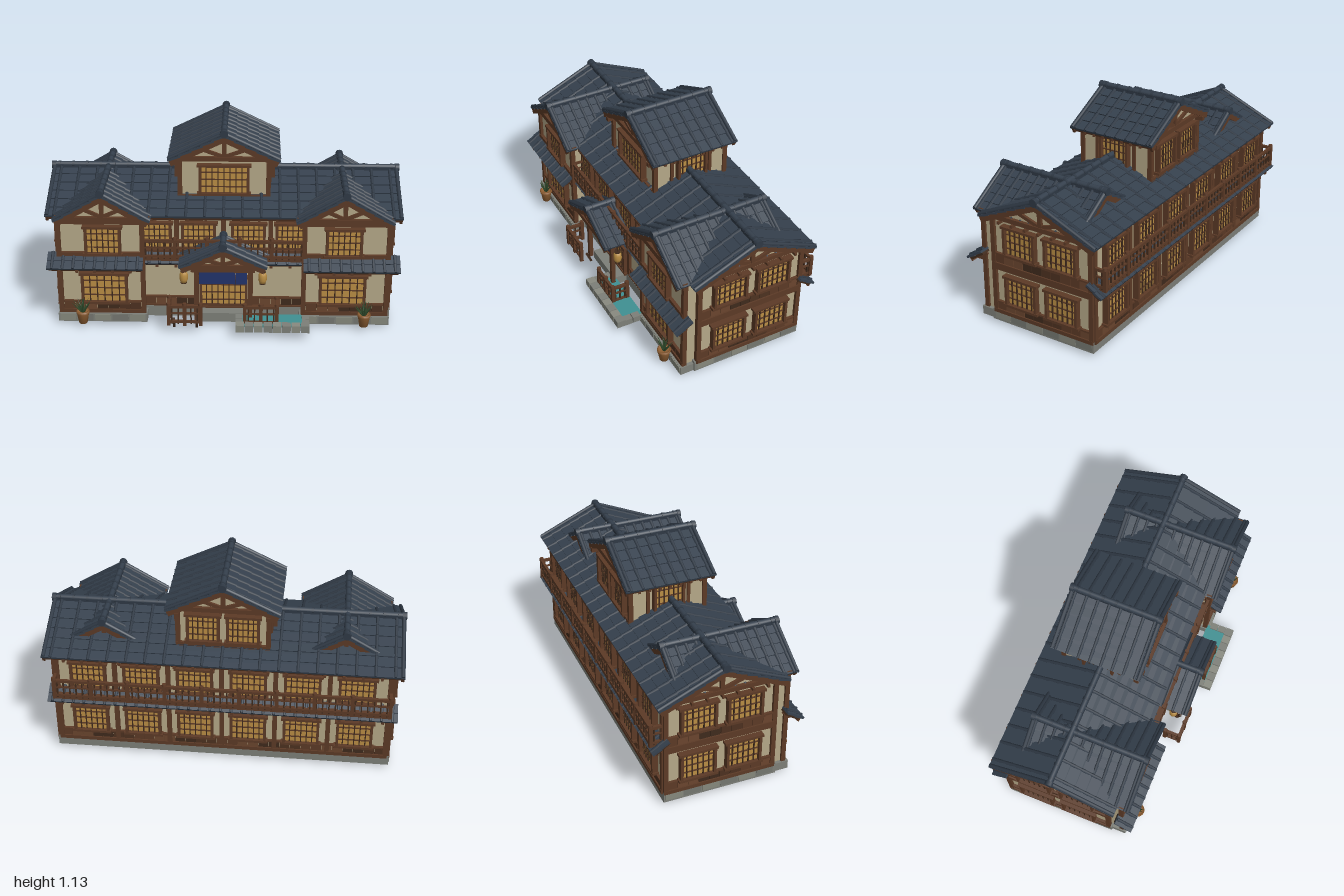
import * as THREE from 'three';
import { mergeGeometries } from 'three/addons/utils/BufferGeometryUtils.js';

const WALL = 0xb5a888, WOOD = 0x5c3a26, DARK = 0x3f2a1c, GLOW = 0xb98d44, TILE = 0x35404d,
  RIB = 0x2f3945, STONE = 0x7d7f78, WATER = 0x3f9092, CLOTH = 0x22336b, CLAY = 0x8f5f33, LEAF = 0x2f4a2b;

let frame, parts;
const at = (x, y, z, rx = 0, ry = 0, rz = 0) =>
  new THREE.Matrix4().makeRotationFromEuler(new THREE.Euler(rx, ry, rz)).setPosition(x, y, z);

// Run fn with all placements relative to matrix m
function within(m, fn) {
  const old = frame;
  frame = old.clone().multiply(m);
  fn();
  frame = old;
}
// Collect a geometry under a part name and colour
function put(name, color, geo, m) {
  const key = name + color;
  if (!parts.has(key)) parts.set(key, { name, color, list: [] });
  const g = geo.index ? geo.toNonIndexed() : geo;
  parts.get(key).list.push(g.applyMatrix4(frame.clone().multiply(m)));
}
const box = (name, color, w, h, d, x, y, z, rx = 0, ry = 0, rz = 0) =>
  put(name, color, new THREE.BoxGeometry(w, h, d), at(x, y, z, rx, ry, rz));
const rod = (name, color, r1, r2, len, x, y, z, rx = 0, rz = 0, n = 8) =>
  put(name, color, new THREE.CylinderGeometry(r1, r2, len, n), at(x, y, z, rx, 0, rz));
// Timber between two points of the local xy plane
function strut(name, ax, ay, bx, by, z, t = 0.02, d = 0.02) {
  box(name, WOOD, Math.hypot(bx - ax, by - ay), t, d, (ax + bx) / 2, (ay + by) / 2, z, 0, 0, Math.atan2(by - ay, bx - ax));
}
const spread = (n, len, fn) => { for (let i = 0; i < n; i++) fn(-len / 2 + len * (i + 0.5) / n, i); };

// One tiled plane: starts at the local origin and falls towards +z
function slope(name, len, run, rise, rowSize = 0.068, ribGap = 0.08) {
  const L = Math.hypot(run, rise), rows = Math.max(1, Math.round(L / rowSize)), r = L / rows;
  within(at(0, 0, 0, Math.atan2(rise, run)), () => {
    box(name + 'Deck', DARK, len - 0.02, 0.014, L - 0.01, 0, -0.014, L / 2 - 0.005);
    box(name + 'EaveBoard', WOOD, len - 0.02, 0.022, 0.012, 0, -0.018, L - 0.012);
    spread(Math.round(len / 0.09), len - 0.04, x => box(name + 'Rafters', WOOD, 0.014, 0.016, L - 0.03, x, -0.028, L / 2));
    for (let i = 0; i < rows; i++) {
      const z = (i + 0.5) * r;
      box(name + 'Tiles', TILE, len, 0.012, r * 1.12, 0, 0, z, -0.1);
      spread(Math.round(len / ribGap), len, x =>
        rod(name + 'TileRibs', RIB, 0.0085, 0.011, r * 1.08, x, 0.006, z, Math.PI / 2 - 0.06, 0, 6));
    }
  });
}
// Gable roof with its ridge along local x; the origin is at ridge height
function gableRoof(name, len, run, rise, ribGap, rowSize) {
  for (const turn of [0, Math.PI]) within(at(0, 0, 0, 0, turn), () => {
    slope(name, len, run, rise, rowSize, ribGap);
    const L = Math.hypot(run, rise);
    within(at(0, 0, 0, Math.atan2(rise, run)), () => {
      for (const s of [-1, 1]) {
        box(name + 'BargeBoards', WOOD, 0.016, 0.032, L, s * (len / 2 - 0.012), -0.02, L / 2);
        rod(name + 'EdgeTiles', RIB, 0.011, 0.012, L, s * (len / 2 - 0.012), 0.009, L / 2, Math.PI / 2);
      }
    });
  });
  box(name + 'Ridge', RIB, len, 0.02, 0.034, 0, 0.006, 0);
  spread(Math.round(len / 0.08), len, x => {
    rod(name + 'Ridge', TILE, 0.016, 0.016, len / Math.round(len / 0.08), x, 0.014, 0, 0, Math.PI / 2, 10);
    rod(name + 'Ridge', RIB, 0.019, 0.019, 0.014, x, 0.014, 0, 0, Math.PI / 2, 10);
  });
  for (const s of [-1, 1]) rod(name + 'Ridge', RIB, 0.023, 0.023, 0.024, s * (len / 2 - 0.008), 0.01, 0, 0, Math.PI / 2, 12);
}
// Plastered gable triangle with tie beam, king post and braces; faces +z
function gable(name, half, h) {
  const tri = new THREE.Shape([[-half, 0], [half, 0], [0, h]].map(p => new THREE.Vector2(...p)));
  put(name + 'Plaster', WALL, new THREE.ExtrudeGeometry(tri, { depth: 0.02, bevelEnabled: false }), at(0, 0, -0.02));
  box(name + 'Timber', WOOD, half * 2 + 0.06, 0.026, 0.03, 0, 0, 0.005);
  box(name + 'Timber', WOOD, 0.024, h, 0.024, 0, h / 2, 0.005);
  for (const s of [-1, 1]) {
    strut(name + 'Timber', 0, 0.01, s * half * 0.52, h * 0.47, 0.004);
    strut(name + 'Timber', s * half, 0.005, 0, h, 0.006, 0.026);
  }
}
// Lattice window centred at x, y on a wall facing +z
function lattice(w, h, x, y, bars = 6, depth = 0.034) {
  within(at(x, y, 0), () => {
    box('windowPaper', GLOW, w, h, 0.016, 0, 0, 0.004);
    for (const s of [-1, 1]) {
      box('windowFrame', WOOD, 0.015, h, depth, s * w / 2, 0, depth / 2);
      box('windowFrame', WOOD, w + 0.035, 0.014, depth + 0.004, 0, s * h / 2, depth / 2);
    }
    for (let i = 1; i < bars; i++) box('windowBars', DARK, 0.006, h, 0.01, -w / 2 + w * i / bars, 0, 0.014);
    for (const k of [-0.25, 0, 0.25]) box('windowBars', WOOD, w, 0.006, 0.008, 0, h * k, 0.014);
  });
}
// Row of boards in mixed browns
function wainscot(len, x, y, h = 0.055) {
  const n = Math.round(len / 0.06);
  spread(n, len, (u, i) => box('wainscot', [WOOD, 0x4d3120, DARK, 0x6a452e][(i * 7 + (i >> 1)) % 4],
    len / n - 0.003, h, 0.014, x + u, y, 0.004));
  box('wainscotRail', WOOD, len, 0.01, 0.02, x, y + h / 2, 0.006);
}
// Railing along local x standing on y = 0
function railing(name, len, h, postCount) {
  for (const [y, t] of [[h, 0.016], [h * 0.62, 0.01], [0.015, 0.014]]) box(name, WOOD, len, t, t, 0, y, 0);
  for (let i = 0; i < postCount; i++) {
    const x = -len / 2 + len * i / (postCount - 1);
    box(name, WOOD, 0.02, h + 0.015, 0.02, x, h / 2, 0);
    rod(name, WOOD, 0.012, 0.014, 0.014, x, h + 0.014, 0);
  }
  spread(Math.round(len / 0.035), len, x => box(name, DARK, 0.008, h, 0.008, x, h / 2, 0));
}
function balcony(name, len, depth) {
  box(name + 'Floor', WOOD, len, 0.018, depth, 0, 0.405, depth / 2);
  within(at(0, 0.41, depth), () => railing(name + 'Railing', len, 0.11, Math.round(len / 0.2) + 1));
  for (const s of [-1, 1]) within(at(s * len / 2, 0.41, depth / 2, 0, Math.PI / 2), () => railing(name + 'Railing', depth, 0.11, 2));
}
// Lean-to roof on brackets between the storeys
function pentRoof(len, run) {
  within(at(0, 0.435, -0.01), () => slope('pentRoof', len, run, 0.06, 0.05, 0.06));
  spread(Math.round(len / 0.12), len - 0.04, x => box('pentBrackets', WOOD, 0.016, 0.018, run - 0.01, x, 0.36, run / 2 - 0.01));
}
const posts = (xs, y0, y1, z = 0.004, t = 0.026) =>
  xs.forEach(x => box('wallPosts', WOOD, t, y1 - y0, t, x, (y0 + y1) / 2, z));
const beams = (len, ys) => ys.forEach(y => box('wallBeams', WOOD, len, 0.022, 0.026, 0, y, 0.006));

function mainHouse() {
  box('foundation', STONE, 1.91, 0.065, 0.66, 0, 0.0525, -0.08);
  box('mainWalls', WALL, 1.88, 0.57, 0.63, 0, 0.37, -0.085);
  within(at(0, 0.815, -0.085), () => gableRoof('mainRoof', 2, 0.365, 0.16, 0.105));
  // Gable ends
  for (const s of [-1, 1]) within(at(s * 0.94, 0, -0.085, 0, s * Math.PI / 2), () => {
    for (const x of [-0.132, 0.132]) { lattice(0.19, 0.17, x, 0.23); lattice(0.19, 0.165, x, 0.53); }
    wainscot(0.61, 0, 0.112);
    wainscot(0.61, 0, 0.408);
    posts([-0.312, 0.312], 0.07, 0.66);
    beams(0.64, [0.082, 0.37, 0.352]);
    within(at(0, 0.655, 0), () => gable('mainGable', 0.32, 0.142));
    spread(7, 0.6, x => box('eaveBlocks', WOOD, 0.014, 0.016, 0.04, x, 0.633, 0.015));
    spread(6, 0.64, (x, i) => box('foundationBlocks', i % 2 ? 0x74766f : 0x86887c, 0.1, 0.045, 0.012, x, 0.055, 0.012));
  });
  // Rear face
  within(at(0, 0, -0.4, 0, Math.PI), () => {
    spread(6, 1.8, x => { lattice(0.19, 0.17, x, 0.23); lattice(0.19, 0.165, x, 0.53); });
    wainscot(1.86, 0, 0.112);
    posts([-0.93, -0.6, -0.3, 0, 0.3, 0.6, 0.93], 0.07, 0.66);
    beams(1.88, [0.082, 0.36, 0.65]);
    pentRoof(1.96, 0.085);
    balcony('rearBalcony', 1.87, 0.075);
    spread(18, 1.86, x => box('eaveBlocks', WOOD, 0.014, 0.016, 0.05, x, 0.633, 0.02));
  });
  // Front face between the wings
  within(at(0, 0, 0.23), () => {
    for (const x of [-0.39, -0.14, 0.14, 0.39]) lattice(0.18, 0.165, x, 0.525);
    for (const s of [-1, 1]) wainscot(0.3, s * 0.3, 0.112);
    posts([-0.265, 0, 0.265], 0.38, 0.66);
    posts([-0.155, 0.155], 0.07, 0.38);
    beams(0.92, [0.082, 0.36, 0.65]);
    pentRoof(0.9, 0.075);
    balcony('frontBalcony', 0.91, 0.07);
    spread(9, 0.9, x => box('eaveBlocks', WOOD, 0.014, 0.016, 0.04, x, 0.633, 0.015));
  });
}
function wing(s) {
  within(at(s * 0.69, 0, 0.3), () => {
    box('wingFoundation', STONE, 0.51, 0.05, 0.1, 0, 0.045, -0.02);
    box('wingWalls', WALL, 0.47, 0.59, 0.28, 0, 0.36, -0.14);
    lattice(0.25, 0.18, -s * 0.015, 0.23);
    lattice(0.19, 0.165, -s * 0.015, 0.525);
    wainscot(0.44, 0, 0.112);
    posts([-0.235, 0.235], 0.07, 0.66);
    beams(0.49, [0.082, 0.36, 0.44, 0.635]);
    within(at(s * 0.03, 0, 0), () => pentRoof(0.54, 0.09));
    spread(5, 0.5, (x, i) => box('foundationBlocks', i % 2 ? 0x74766f : 0x86887c, 0.09, 0.04, 0.012, x, 0.047, 0.028));
  });
  within(at(s * 0.675, 0.655, 0.305), () => gable('wingGable', 0.235, 0.14));
  within(at(s * 0.675, 0.655, -0.27, 0, Math.PI), () => gable('wingGable', 0.235, 0.14));
  within(at(s * 0.675, 0.81, 0.02, 0, Math.PI / 2), () => gableRoof('wingRoof', 0.68, 0.265, 0.155, 0.057));
}
function tower() {
  within(at(0, 0, -0.1), () => {
    box('towerWalls', WALL, 0.51, 0.3, 0.43, 0, 0.8, 0);
    for (const turn of [0, Math.PI]) within(at(0, 0, 0.215, 0, turn).premultiply(at(0, 0, turn ? -0.43 : 0)), () => {
      if (turn) for (const x of [-0.11, 0.11]) lattice(0.17, 0.17, x, 0.83);
      else lattice(0.27, 0.17, 0, 0.825, 8);
      posts([-0.25, 0.25], 0.66, 0.95);
      beams(0.52, [0.72]);
      within(at(0, 0.947, 0), () => gable('towerGable', 0.26, 0.125));
      for (const s of [-1, 1]) box('towerBrackets', WOOD, 0.026, 0.024, 0.06, s * 0.25, 0.925, 0.02);
    });
    for (const s of [-1, 1]) within(at(s * 0.255, 0, 0, 0, s * Math.PI / 2), () => {
      lattice(0.17, 0.17, 0, 0.85);
      posts([-0.12, 0.12], 0.7, 0.95, 0.004, 0.018);
      beams(0.52, [0.945]);
      spread(7, 0.42, x => box('towerBrackets', WOOD, 0.014, 0.016, 0.05, x, 0.925, 0.02));
    });
    within(at(0, 1.095, 0, 0, Math.PI / 2), () => gableRoof('towerRoof', 0.53, 0.31, 0.15, 0.066));
  });
}
function porch() {
  within(at(0, 0.53, 0.345, 0, Math.PI / 2), () => gableRoof('porchRoof', 0.18, 0.24, 0.115, 0.06, 0.06));
  within(at(0, 0.415, 0.4), () => gable('porchGable', 0.2, 0.095));
  box('porchBeam', WOOD, 0.36, 0.022, 0.024, 0, 0.385, 0.385);
  within(at(0, 0, 0.24), () => lattice(0.26, 0.19, 0, 0.18, 8, 0.025));
  box('doorPlinth', WOOD, 0.26, 0.03, 0.02, 0, 0.09, 0.25);
  box('doorStep', STONE, 0.28, 0.055, 0.09, 0, 0.055, 0.285);
  for (let i = 0; i < 4; i++) box('doorCurtain', CLOTH, 0.066, 0.095, 0.006, -0.102 + i * 0.068, 0.325, 0.345);
  for (const s of [-1, 1]) {
    box('porchPosts', WOOD, 0.024, 0.35, 0.024, s * 0.152, 0.22, 0.345);
    box('porchSideBeams', WOOD, 0.022, 0.022, 0.18, s * 0.155, 0.395, 0.32);
    // Hanging lanterns
    within(at(s * 0.222, 0.32, 0.345), () => {
      const body = [[0, -0.035], [0.016, -0.035], [0.024, -0.015], [0.024, 0.015], [0.016, 0.035], [0, 0.035]];
      put('lantern', GLOW, new THREE.LatheGeometry(body.map(p => new THREE.Vector2(...p)), 12), at(0, 0, 0));
      for (const y of [-0.036, -0.015, 0.015, 0.036]) rod('lanternRings', DARK, 0.0245 - Math.abs(y) * 0.18, 0.0245 - Math.abs(y) * 0.18, 0.005, 0, y, 0, 0, 0, 12);
      rod('lanternCord', DARK, 0.003, 0.003, 0.05, 0, 0.06, 0);
    });
    // Low garden fences beside the steps
    within(at(s * 0.215, 0.06, 0.42), () => railing('gardenFence', 0.18, 0.11, 3));
    within(at(s * 0.305, 0.06, 0.375, 0, Math.PI / 2), () => railing('gardenFence', 0.09, 0.11, 2));
    for (const x of [0.15, 0.28]) box('fenceLegs', DARK, 0.014, 0.07, 0.014, s * x, 0.035, 0.36, 0.4);
  }
}
function garden() {
  // Stone-edged pond
  box('pondWater', WATER, 0.37, 0.014, 0.13, 0.28, 0.065, 0.38);
  spread(8, 0.42, (x, i) => box('pondStones', i % 2 ? STONE : 0x888a80, 0.048, 0.042, 0.048, 0.28 + x, 0.065, 0.458));
  for (const s of [-1, 1]) spread(2, 0.1, z => box('pondStones', STONE, 0.04, 0.038, 0.046, 0.28 + s * 0.188, 0.062, 0.385 + z));
  // Potted plants
  const pot = [[0, 0], [0.024, 0], [0.035, 0.06], [0.038, 0.062], [0.038, 0.075], [0.03, 0.075], [0.028, 0.066], [0, 0.066]];
  for (const s of [-1, 1]) within(at(s * 0.8, 0.027, 0.355), () => {
    put('plantPot', CLAY, new THREE.LatheGeometry(pot.map(p => new THREE.Vector2(...p)), 14), at(0, 0, 0));
    for (let i = 0; i < 15; i++) within(at(0, 0.06, 0, 0, i * 2.4), () => {
      const tilt = 0.08 + (i % 5) * 0.16;
      rod('plantLeaves', LEAF, 0.0005, 0.007, 0.09, Math.sin(tilt) * 0.045, Math.cos(tilt) * 0.045, 0, 0, -tilt, 4);
    });
  });
}

export function createModel() {
  frame = new THREE.Matrix4();
  parts = new Map();
  mainHouse();
  wing(-1);
  wing(1);
  tower();
  porch();
  garden();
  const model = new THREE.Group();
  for (const { name, color, list } of parts.values()) {
    const mesh = new THREE.Mesh(mergeGeometries(list), new THREE.MeshStandardMaterial({ color }));
    mesh.name = name;
    model.add(mesh);
  }
  return model;
}
